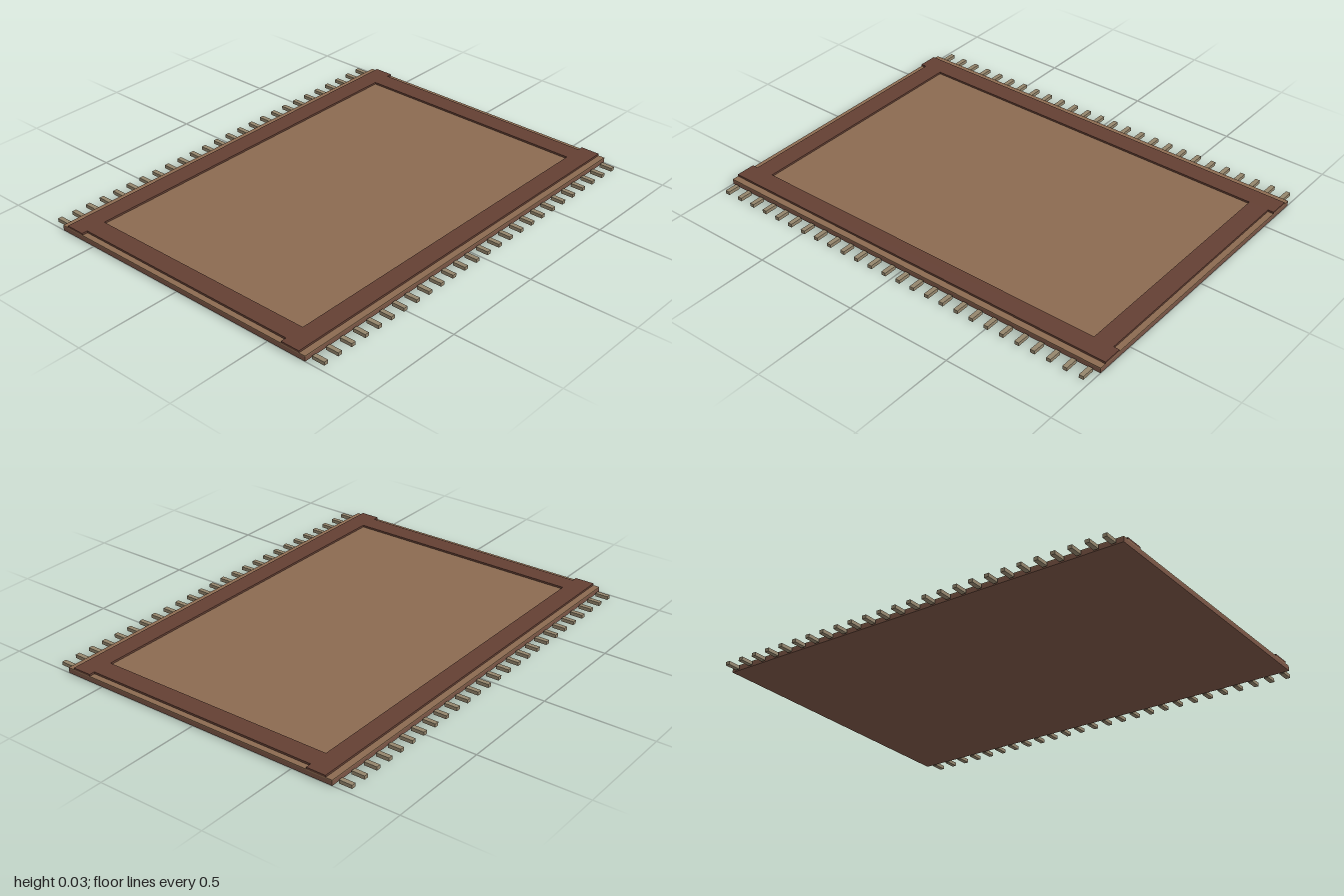
import * as THREE from 'three';

const material = (color) => new THREE.MeshStandardMaterial({ color });

export function createModel() {
  const rug = new THREE.Group();
  rug.name = 'rug';
  const backing = material(0x7a5545);
  const pile = material(0x8b6a50);
  const border = material(0x633f33);
  const thread = material(0x94856c);

  // Box given by its centre in plan, its bottom and its size
  const box = (name, mat, [w, h, d], [x, bottom, z]) => {
    const mesh = new THREE.Mesh(new THREE.BoxGeometry(w, h, d), mat);
    mesh.position.set(x, bottom + h / 2, z);
    mesh.name = name;
    rug.add(mesh);
  };

  // Woven body: backing with a thin lighter field on top
  box('backing', backing, [2, 0.02, 1.386], [0, 0, 0]);
  box('field', pile, [2, 0.005, 1.386], [0, 0.02, 0]);

  for (const side of [-1, 1]) {
    // Raised border bands, the short ones fitted between the long ones
    box('longBorder', border, [2, 0.009, 0.092], [0, 0.025, side * 0.616]);
    box('shortBorder', border, [0.093, 0.009, 1.14], [side * 0.926, 0.025, 0]);

    // Fringe tassels along the long edges
    const count = 26;
    for (let i = 0; i < count; i++) {
      const x = -0.961 + (1.922 * i) / (count - 1);
      box('tassel', thread, [0.021, 0.016, 0.061], [x, 0, side * 0.733]);
    }
  }
  return rug;
}
